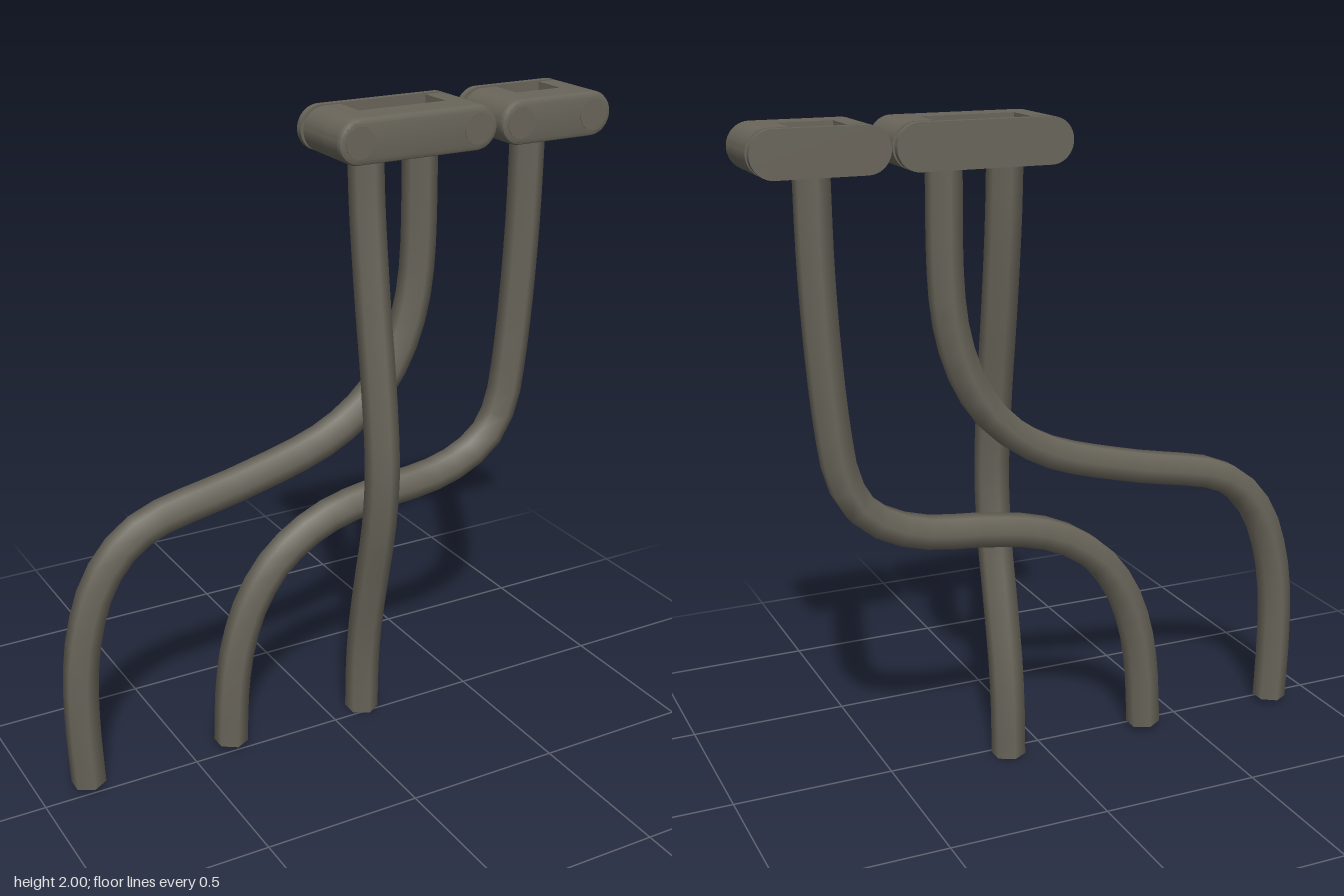
import * as THREE from 'three';
import { toCreasedNormals } from 'three/addons/utils/BufferGeometryUtils.js';

const Y = 1.9325, R = 0.0675, TUBE_R = 0.054;

// Bar outline from x0 to x1, with rounded or square ends
function barShape(x0, x1, roundLeft = true, roundRight = true, r = R) {
  const s = new THREE.Shape();
  if (roundLeft) s.absarc(x0 + r, Y, r, Math.PI / 2, Math.PI * 1.5, false);
  else { s.moveTo(x0, Y + r); s.lineTo(x0, Y - r); }
  if (roundRight) s.absarc(x1 - r, Y, r, -Math.PI / 2, Math.PI / 2, false);
  else { s.lineTo(x1, Y - r); s.lineTo(x1, Y + r); }
  s.closePath();
  return s;
}

function slab(shape, z0, z1, bevel = 0) {
  const g = new THREE.ExtrudeGeometry(shape, {
    depth: z1 - z0, curveSegments: 12, bevelEnabled: bevel > 0,
    bevelThickness: bevel, bevelSize: bevel, bevelOffset: -bevel, bevelSegments: 2,
  });
  return toCreasedNormals(g.translate(0, 0, z0), 0.6);
}

export function createModel() {
  const model = new THREE.Group();
  const metal = new THREE.MeshStandardMaterial({ color: 0x69655a });
  metal.name = 'dull grey metal';

  const add = (parent, name, geometry) => {
    const mesh = new THREE.Mesh(geometry, metal);
    mesh.name = name;
    parent.add(mesh);
    return mesh;
  };

  // Clamp: front block, two arms around an open slot, bolts and a back plate
  function clamp(name, x0, x1, slot0, slot1) {
    const group = new THREE.Group();
    group.name = name;
    add(group, 'clampFront', slab(barShape(x0, x1), 0.01, 0.095));
    add(group, 'clampFrontEdge', slab(barShape(x0, x1), 0.095, 0.097, 0.014));
    add(group, 'clampArmRight', slab(barShape(x0, slot0, true, false), -0.1, 0.01));
    add(group, 'clampArmLeft', slab(barShape(slot1, x1, false, true), -0.1, 0.01));
    add(group, 'backPlate', slab(barShape(x0, x1), -0.14, -0.118));
    for (const x of [x0 + R, x1 - R]) {
      const head = new THREE.CylinderGeometry(0.047, 0.047, 0.012, 24).rotateX(Math.PI / 2);
      add(group, 'boltHead', head.translate(x, Y, 0.107));
      const pin = new THREE.CylinderGeometry(0.036, 0.036, 0.03, 16).rotateX(Math.PI / 2);
      add(group, 'boltPin', pin.translate(x, Y, -0.109));
    }
    model.add(group);
  }
  clamp('doubleClamp', -0.05, 0.48, 0.07, 0.36);
  clamp('singleClamp', 0.495, 0.89, 0.61, 0.77);

  // Six-sided bent pipe with closed ends, one ridge always facing the front
  function pipe(name, points, segments) {
    const curve = new THREE.CatmullRomCurve3(points.map(p => new THREE.Vector3(...p)));
    curve.computeFrenetFrames = n => {
      const tangents = [], normals = [], binormals = [];
      for (let i = 0; i <= n; i++) {
        const t = curve.getTangentAt(i / n);
        const normal = new THREE.Vector3(0, 0, 1).addScaledVector(t, -t.z).normalize();
        tangents.push(t);
        normals.push(normal);
        binormals.push(t.clone().cross(normal));
      }
      return { tangents, normals, binormals };
    };
    const group = new THREE.Group();
    group.name = name;
    add(group, 'pipeWall', new THREE.TubeGeometry(curve, segments, TUBE_R, 6));
    for (const u of [0, 1]) {
      const out = curve.getTangentAt(u).multiplyScalar(u ? 1 : -1);
      const normal = new THREE.Vector3(0, 0, 1).addScaledVector(out, -out.z).normalize();
      const basis = new THREE.Matrix4().makeBasis(normal, out.clone().cross(normal), out);
      basis.setPosition(curve.getPointAt(u));
      add(group, 'pipeEnd', new THREE.CircleGeometry(TUBE_R, 6).applyMatrix4(basis));
    }
    model.add(group);
  }

  // Front pipe bows forward over the two behind it
  pipe('frontPipe', [
    [1.885, -0.038], [1.7, -0.025], [1.4, 0.015], [1.2, 0.048], [0.9, 0.08],
    [0.7, 0.063], [0.5, 0.02], [0.3, -0.02], [0.15, -0.035], [0, -0.038],
  ].map(([y, z]) => [0.12, y, z]), 24);

  // Long and short S-bends lie flat
  pipe('longBentPipe', [
    [0.31, 1.885], [0.31, 1.55], [0.295, 1.4], [0.25, 1.25], [0.16, 1.11], [0, 0.995],
    [-0.3, 0.905], [-0.5, 0.865], [-0.61, 0.835], [-0.7, 0.775], [-0.775, 0.675],
    [-0.825, 0.53], [-0.847, 0.38], [-0.85, 0.2], [-0.843, 0.015],
  ].map(([x, y]) => [x, y, -0.045]), 32);
  pipe('shortBentPipe', [
    [0.695, 1.885], [0.692, 1.6], [0.68, 1.35], [0.663, 1.15], [0.64, 1], [0.595, 0.9],
    [0.51, 0.83], [0.38, 0.785], [0.2, 0.765], [0.02, 0.733], [-0.1, 0.68],
    [-0.2, 0.6], [-0.28, 0.48], [-0.328, 0.34], [-0.35, 0.2], [-0.36, 0.015],
  ].map(([x, y]) => [x, y, -0.042]), 32);

  return model;
}
